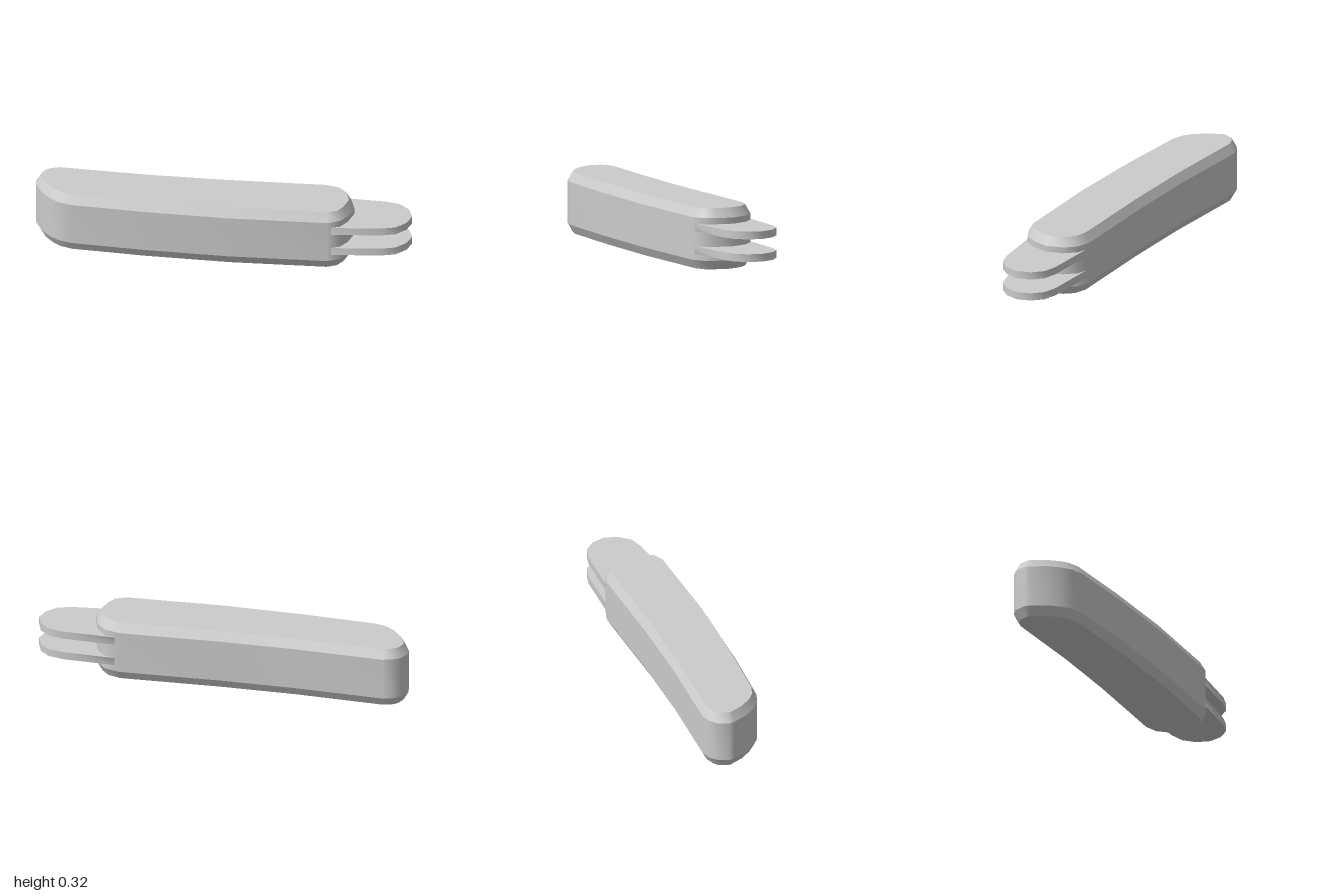
import * as THREE from 'three';
import { mergeGeometries } from 'three/addons/utils/BufferGeometryUtils.js';

// Plan outlines as [x, z], running along the back to the right and returning along the front
const HANDLE = [
  [-1, -0.1], [-0.975, -0.16], [-0.935, -0.19], [-0.88, -0.205], [-0.4, -0.17], [0, -0.157],
  [0.54, -0.157], [0.62, -0.13], [0.67, -0.07], [0.695, 0.02], [0.67, 0.11], [0.635, 0.167],
  [0.57, 0.198], [0.05, 0.2], [-0.4, 0.176], [-0.79, 0.14], [-0.86, 0.115], [-0.91, 0.075],
  [-0.96, 0.01], [-0.995, -0.07],
];
const BLADE = [
  [0.5, -0.153], [0.85, -0.13], [0.925, -0.108], [0.977, -0.055], [1, 0.02],
  [0.977, 0.092], [0.925, 0.147], [0.85, 0.168], [0.5, 0.196],
];

// Moves every edge of an outline inwards by d, with mitred corners
function inset(points, d) {
  const n = points.length;
  const normal = (i) => {
    const [a, b] = [points[(i + n) % n], points[(i + 1) % n]];
    return new THREE.Vector2(a[1] - b[1], b[0] - a[0]).normalize();
  };
  return points.map(([x, z], i) => {
    const n1 = normal(i - 1), n2 = normal(i);
    const m = d / (1 + n1.dot(n2));
    return [x + (n1.x + n2.x) * m, z + (n1.y + n2.y) * m];
  });
}

// Smooth wall between two outlines
function band(lower, y0, upper, y1) {
  const n = lower.length, pos = [], index = [];
  lower.forEach(([x, z]) => pos.push(x, y0, z));
  upper.forEach(([x, z]) => pos.push(x, y1, z));
  for (let i = 0; i < n; i++) {
    const j = (i + 1) % n;
    index.push(i, i + n, j + n, i, j + n, j);
  }
  const g = new THREE.BufferGeometry();
  g.setAttribute('position', new THREE.Float32BufferAttribute(pos, 3));
  g.setIndex(index);
  g.computeVertexNormals();
  return g;
}

// Flat lid: side 1 faces up, side -1 faces down
function cap(points, y, side) {
  const shape = new THREE.Shape(points.map(([x, z]) => new THREE.Vector2(x, -side * z)));
  const g = new THREE.ShapeGeometry(shape);
  g.deleteAttribute('uv');
  return g.rotateX(-side * Math.PI / 2).translate(0, y, 0);
}

// Closed solid from stacked [outline, height] rings, with crisp edges between bands
function stack(rings) {
  const parts = [cap(...rings[0], -1), cap(...rings[rings.length - 1], 1)];
  for (let i = 1; i < rings.length; i++) parts.push(band(...rings[i - 1], ...rings[i]));
  return mergeGeometries(parts);
}

export function createModel() {
  const group = new THREE.Group();
  group.name = 'pocketKnife';
  const material = new THREE.MeshStandardMaterial({ color: 0xcccccc });
  const add = (name, rings) => {
    const mesh = new THREE.Mesh(stack(rings), material);
    mesh.name = name;
    group.add(mesh);
  };

  // Curved handle with chamfered rims
  const rim = inset(HANDLE, 0.027);
  add('handle', [[rim, 0], [HANDLE, 0.049], [HANDLE, 0.276], [rim, 0.325]]);

  // Two thin blades protruding from the end
  add('lowerBlade', [[BLADE, 0.082], [BLADE, 0.123]]);
  add('upperBlade', [[BLADE, 0.202], [BLADE, 0.243]]);
  return group;
}
